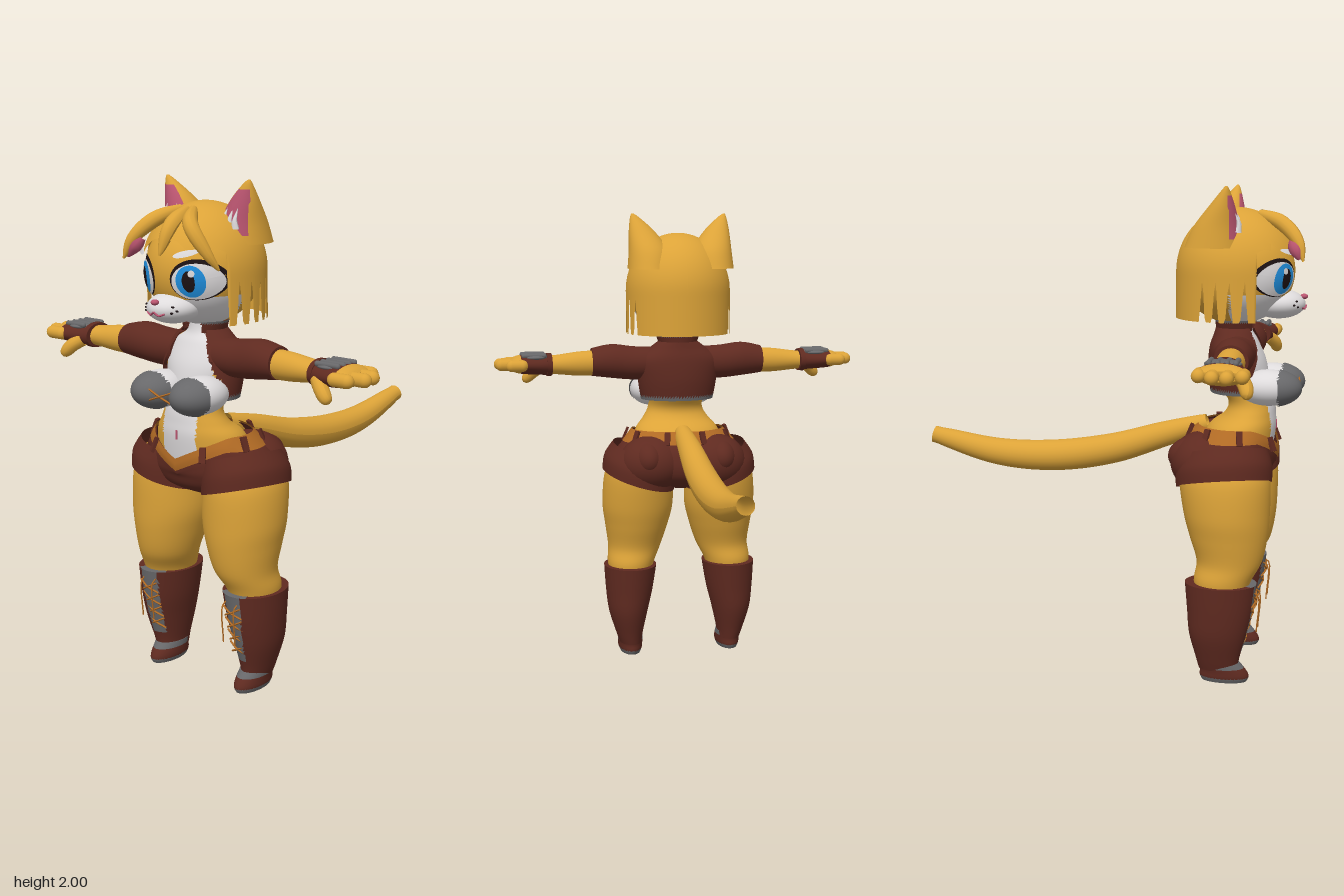
import * as THREE from 'three';

const mat = (name, color, side = THREE.FrontSide) => Object.assign(new THREE.MeshStandardMaterial({ color, side }), { name });
const V = (x, y, z) => new THREE.Vector3(x, y, z);

// Smooth closed body through elliptical rings [cx, cy, cz, a, b], stacked along y or x
function loft(rings, { axis = 'y', n = 40, sub = 6, caps = true } = {}) {
  const rows = [], pos = [], idx = [], last = rings.length - 1;
  for (let k = 0; k <= last * sub; k++) {
    const i = Math.min(Math.floor(k / sub), last - 1), t = k / sub - i;
    const at = (j) => rings[Math.max(0, Math.min(last, j))];
    rows.push(rings[0].map((_, c) => {
      const p0 = at(i - 1)[c], p1 = at(i)[c], p2 = at(i + 1)[c], p3 = at(i + 2)[c];
      const m1 = (p2 - p0) / 2, m2 = (p3 - p1) / 2, t2 = t * t, t3 = t2 * t;
      return (2 * t3 - 3 * t2 + 1) * p1 + (t3 - 2 * t2 + t) * m1 + (3 * t2 - 2 * t3) * p2 + (t3 - t2) * m2;
    }));
  }
  const ring = ([x, y, z, a, b]) => {
    for (let j = 0; j < n; j++) {
      const s = Math.sin(j / n * Math.PI * 2), c = Math.cos(j / n * Math.PI * 2);
      if (axis === 'y') pos.push(x + a * s, y, z + b * c);
      else pos.push(x, y - a * s, z + b * c);
    }
  };
  rows.forEach(ring);
  for (let k = 0; k < rows.length - 1; k++) for (let j = 0; j < n; j++) {
    const a = k * n + j, b = k * n + (j + 1) % n;
    idx.push(a, b, b + n, a, b + n, a + n);
  }
  if (caps) [rows[0], rows[rows.length - 1]].forEach((r, top) => {
    const s = pos.length / 3;
    ring(r);
    pos.push(r[0], r[1], r[2]);
    for (let j = 0; j < n; j++) {
      const a = s + j, b = s + (j + 1) % n;
      if (top) idx.push(s + n, a, b); else idx.push(s + n, b, a);
    }
  });
  return finish(pos, idx);
}

function finish(pos, idx) {
  const g = new THREE.BufferGeometry();
  g.setAttribute('position', new THREE.Float32BufferAttribute(pos, 3));
  g.setIndex(idx);
  g.computeVertexNormals();
  return g;
}

// Move every vertex by a rule
function warp(g, rule) {
  const p = g.attributes.position, v = V(0, 0, 0);
  for (let i = 0; i < p.count; i++) { v.fromBufferAttribute(p, i); rule(v, i); p.setXYZ(i, v.x, v.y, v.z); }
  g.computeVertexNormals();
  return g;
}

// Sort faces into material groups; the rule gives a slot, or -1 to cut the face away
function paint(g, slots, rule) {
  const lists = Array.from({ length: slots }, () => []), p = g.attributes.position, ix = g.index.array;
  const tri = new THREE.Triangle(), c = V(0, 0, 0), nrm = V(0, 0, 0);
  for (let i = 0; i < ix.length; i += 3) {
    tri.setFromAttributeAndIndices(p, ix[i], ix[i + 1], ix[i + 2]);
    const s = rule(tri.getMidpoint(c), tri.getNormal(nrm));
    if (s >= 0) lists[s].push(ix[i], ix[i + 1], ix[i + 2]);
  }
  g.clearGroups();
  let start = 0;
  lists.forEach((l, s) => { g.addGroup(start, l.length, s); start += l.length; });
  g.setIndex(lists.flat());
  return g;
}

// Tube along a curve with a changing radius
function taper(points, radius, segs = 24, sides = 12) {
  const curve = new THREE.CatmullRomCurve3(points.map((p) => V(...p)));
  const g = new THREE.TubeGeometry(curve, segs, 1, sides);
  return warp(g, (v, i) => {
    const u = Math.floor(i / (sides + 1)) / segs, c = curve.getPointAt(u);
    v.sub(c).multiplyScalar(radius(u)).add(c);
  });
}
const ball = (x, y, z, a, b, c) => new THREE.SphereGeometry(1, 40, 28).scale(a, b, c).translate(x, y, z);

// Oval plate laid on the curved face
const faceZ = (x, y) => 0.51 + 0.235 * Math.sqrt(Math.max(0, 1 - (x / 0.215) ** 2 - ((y - 1.66) / 0.215) ** 2));
function decal(x, y, a, b, lift, tilt = 0) {
  const g = new THREE.RingGeometry(0.001, 1, 36, 6).scale(a, b, 1).rotateZ(tilt).translate(x, y, 0);
  return warp(g, (v) => { v.z = faceZ(v.x, v.y) + lift; });
}

export function createModel() {
  const model = new THREE.Group();
  model.name = 'catWoman';
  const fur = mat('golden fur', 0xdca338, THREE.DoubleSide), white = mat('white fur', 0xdedbdc);
  const leather = mat('brown leather', 0x5f2a20, THREE.DoubleSide), grey = mat('grey trim', 0x68686a, THREE.DoubleSide);
  const pink = mat('pink', 0xb9546f), orange = mat('orange belt', 0xb06a24, THREE.DoubleSide);
  const blue = mat('blue iris', 0x2090e0), black = mat('black', 0x1c1214);
  const add = (name, g, m) => { const mesh = new THREE.Mesh(g, m); mesh.name = name; model.add(mesh); };
  const pair = (name, g, m) => {
    const r = g.clone().scale(-1, 1, 1), ix = r.index.array;
    for (let i = 0; i < ix.length; i += 3) [ix[i], ix[i + 1]] = [ix[i + 1], ix[i]];
    add(name + 'Left', g, m);
    add(name + 'Right', r, m);
  };

  // Torso with white front
  const torso = loft([[0, 0.88, 0.5, 0.2, 0.16], [0, 0.95, 0.52, 0.21, 0.152], [0, 1.03, 0.545, 0.19, 0.137], [0, 1.08, 0.575, 0.15, 0.105],
    [0, 1.13, 0.58, 0.125, 0.095], [0, 1.2, 0.55, 0.13, 0.105], [0, 1.3, 0.53, 0.155, 0.105], [0, 1.38, 0.515, 0.13, 0.085], [0, 1.43, 0.51, 0.065, 0.065], [0, 1.52, 0.51, 0.06, 0.06]], { n: 72 });
  add('torso', paint(torso, 2, (c) => (c.z > 0.55 && Math.abs(c.x) < (c.y > 1.15 ? 0.12 : 0.085) ? 1 : 0)), [fur, white]);
  add('navel', new THREE.BoxGeometry(0.008, 0.036, 0.008).translate(0, 1.035, 0.681), pink);
  pair('bust', ball(0.1, 1.2, 0.655, 0.095, 0.073, 0.125), white);
  pair('topCup', paint(ball(0.1, 1.2, 0.66, 0.1, 0.078, 0.131), 1, (c) => (c.z > 0.7 ? 0 : -1)), grey);
  for (const s of [-1, 1]) add('topLace', taper([[-0.06, 1.2 - s * 0.022, 0.768], [0, 1.2, 0.772], [0.06, 1.2 + s * 0.022, 0.768]], () => 0.004, 8, 6), orange);

  // Cropped jacket, open in front, with collar and sleeves
  const jacket = loft([[0, 1.17, 0.535, 0.165, 0.125], [0, 1.26, 0.525, 0.18, 0.125], [0, 1.35, 0.515, 0.185, 0.11], [0, 1.405, 0.512, 0.125, 0.09], [0, 1.435, 0.51, 0.085, 0.08]], { n: 80, caps: false });
  add('jacket', paint(jacket, 2, (c) => (c.z > 0.53 && Math.abs(c.x) < 0.15 - Math.max(0, c.y - 1.25) * 0.5 ? -1 : c.y < 1.187 ? 1 : 0)), [leather, grey]);
  const collar = loft([[0, 1.42, 0.51, 0.085, 0.08], [0, 1.465, 0.51, 0.1, 0.085]], { n: 60, caps: false });
  add('collar', paint(collar, 2, (c) => (c.z > 0.56 && Math.abs(c.x) < 0.045 ? -1 : c.y > 1.455 ? 1 : 0)), [leather, grey]);
  pair('sleeve', loft([[0.1, 1.335, 0.53, 0.07, 0.075], [0.2, 1.335, 0.53, 0.075, 0.078], [0.3, 1.345, 0.533, 0.076, 0.078], [0.39, 1.342, 0.535, 0.062, 0.068]], { axis: 'x' }), leather);

  // Arms, gloves and hands
  pair('arm', loft([[0.36, 1.338, 0.535, 0.057, 0.056], [0.45, 1.336, 0.535, 0.054, 0.054], [0.55, 1.334, 0.535, 0.043, 0.05], [0.62, 1.334, 0.535, 0.04, 0.05]], { axis: 'x' }), fur);
  const hand = loft([[0.575, 1.335, 0.535, 0.047, 0.066], [0.63, 1.335, 0.537, 0.044, 0.08], [0.7, 1.338, 0.537, 0.042, 0.096], [0.735, 1.338, 0.537, 0.034, 0.092], [0.755, 1.338, 0.537, 0.02, 0.08]], { axis: 'x' });
  pair('glove', paint(hand, 2, (c) => (c.x > 0.71 ? 1 : 0)), [leather, fur]);
  pair('gloveCuff', loft([[0.57, 1.335, 0.535, 0.05, 0.07], [0.592, 1.335, 0.535, 0.052, 0.074]], { axis: 'x', sub: 2 }), leather);
  pair('glovePlate', ball(0.645, 1.37, 0.535, 0.065, 0.016, 0.07), grey);
  [[0.458, 0.775], [0.511, 0.818], [0.565, 0.823], [0.617, 0.785]].forEach(([z, tip]) => {
    pair('finger', new THREE.CapsuleGeometry(0.026, tip - 0.73, 8, 16).rotateZ(Math.PI / 2).translate((tip + 0.678) / 2, 1.338, z), fur);
    pair('gloveStrip', new THREE.CapsuleGeometry(0.011, 0.09, 6, 10).rotateZ(Math.PI / 2).translate(0.65, 1.378, 0.537 + (z - 0.537) * 0.62), grey);
  });
  pair('thumb', taper([[0.61, 1.32, 0.59], [0.645, 1.295, 0.615], [0.67, 1.27, 0.625], [0.69, 1.25, 0.625]], (u) => 0.028 * Math.sqrt(1.0001 - u ** 6)), fur);

  // Shorts and belt share a dip at the front
  const dip = (v) => { v.y -= 0.095 * Math.max(0, 1 - Math.abs(v.x) / 0.2) * THREE.MathUtils.smoothstep(v.z, 0.54, 0.64) * THREE.MathUtils.smoothstep(v.y, 0.85, 1.0); };
  add('shorts', warp(loft([[0, 0.775, 0.48, 0.06, 0.08], [0, 0.82, 0.48, 0.22, 0.17], [0, 0.88, 0.48, 0.31, 0.197], [0, 0.95, 0.49, 0.285, 0.195], [0, 1, 0.51, 0.235, 0.178], [0, 1.03, 0.525, 0.206, 0.162]], { n: 72, caps: false }), dip), leather);
  add('belt', warp(loft([[0, 0.985, 0.505, 0.256, 0.188], [0, 1.01, 0.515, 0.234, 0.181], [0, 1.037, 0.528, 0.21, 0.166]], { n: 72, caps: false }), dip), orange);
  [0.55, 1.35, 2.1, 2.8].forEach((a) => {
    const loop = new THREE.BoxGeometry(0.025, 0.06, 0.012).rotateX(-0.4).translate(0, 0, 0.006).rotateY(a);
    pair('beltLoop', loop.translate(0.236 * Math.sin(a), a < 1 ? 0.973 : 1.01, 0.515 + 0.183 * Math.cos(a)), leather);
  });
  pair('shortsSeat', ball(0.14, 0.895, 0.405, 0.15, 0.125, 0.138), leather);
  pair('backPocket', ball(0.165, 0.92, 0.385, 0.075, 0.085, 0.125), leather);
  pair('shortsLeg', warp(loft([[0.188, 0.815, 0.492, 0.162, 0.194], [0.182, 0.88, 0.49, 0.158, 0.194], [0.16, 0.95, 0.49, 0.14, 0.175]], { caps: false }), (v) => { v.y += 0.28 * (v.x - 0.188) + 0.1 * (v.z - 0.49); }), leather);

  // Legs
  pair('leg', loft([[0.165, 0.93, 0.49, 0.13, 0.165], [0.186, 0.84, 0.495, 0.153, 0.184], [0.19, 0.7, 0.505, 0.16, 0.175], [0.195, 0.6, 0.515, 0.143, 0.158],
    [0.205, 0.5, 0.52, 0.12, 0.132], [0.226, 0.42, 0.495, 0.104, 0.115], [0.23, 0.32, 0.49, 0.08, 0.09]].reverse()), fur);

  // Laced boots with grey tongue
  const boot = loft([[0.232, 0.05, 0.485, 0.05, 0.08], [0.237, 0.1, 0.482, 0.062, 0.09], [0.241, 0.2, 0.482, 0.088, 0.117], [0.235, 0.3, 0.488, 0.106, 0.133], [0.229, 0.415, 0.49, 0.119, 0.146]], { n: 64 });
  pair('boot', paint(boot, 2, (c) => (c.y > 0.13 && c.z > 0.5 && Math.abs(c.x - 0.224) < 0.02 + c.y * 0.055 ? 1 : 0)), [leather, grey]);
  const foot = loft([[0.23, 0, 0.51, 0.045, 0.092], [0.23, 0.02, 0.51, 0.053, 0.101], [0.23, 0.045, 0.505, 0.055, 0.095], [0.232, 0.08, 0.487, 0.056, 0.084]]);
  pair('foot', paint(foot, 2, (c) => (c.y < 0.018 || (c.y > 0.058 && c.z > 0.45) ? 1 : 0)), [leather, grey]);
  const laceZ = (y) => 0.565 + (y - 0.1) * 0.25 + 0.002;
  for (let y = 0.16; y < 0.38; y += 0.055) for (const s of [-1, 1]) {
    pair('bootLace', taper([[0.224 - s * 0.042, y, laceZ(y) - 0.004], [0.224, y + 0.022, laceZ(y + 0.022) + 0.008], [0.224 + s * 0.042, y + 0.045, laceZ(y + 0.045) - 0.004]], () => 0.004, 8, 6), orange);
  }
  for (const x of [0.19, 0.25]) pair('laceEnd', taper([[x, 0.385, 0.625], [x, 0.37, 0.645], [x, 0.22, 0.64]], () => 0.003, 8, 6), orange);

  // Tail
  add('tail', taper([[0, 1.03, 0.4], [0, 0.975, 0.22], [0, 0.905, 0], [0, 0.865, -0.25], [0, 0.87, -0.5], [0, 0.935, -0.79]],
    (u) => 0.036 + 0.03 * Math.sin(Math.PI * Math.min(1, u * 1.02)) ** 0.8, 48, 24), fur);

  // Head with white lower face and muzzle
  const head = new THREE.SphereGeometry(1, 72, 56).scale(0.215, 0.215, 0.235).translate(0, 1.66, 0.51);
  add('head', paint(head, 2, (c) => (c.z > 0.5 && c.y < 1.56 + Math.abs(c.x) * 0.1 ? 1 : 0)), [fur, white]);
  add('muzzle', ball(0, 1.53, 0.68, 0.1, 0.06, 0.11), white);
  add('nose', ball(0, 1.56, 0.783, 0.016, 0.011, 0.016), pink);
  pair('mouth', taper([[0, 1.525, 0.792], [0.02, 1.512, 0.787], [0.045, 1.52, 0.777]], () => 0.004, 10, 6), pink);
  for (const [x, y] of [[0.066, 1.545], [0.078, 1.53], [0.064, 1.522]]) {
    pair('whiskerDot', ball(x, y, 0.68 + 0.11 * Math.sqrt(1 - (x / 0.1) ** 2 - ((y - 1.53) / 0.06) ** 2), 0.008, 0.004, 0.005), black);
  }

  // Eyes and brows as layered plates
  pair('eyeRim', decal(0.121, 1.643, 0.083, 0.076, 0.002, 0.3), black);
  pair('eyeWhite', decal(0.122, 1.637, 0.076, 0.067, 0.005, 0.3), white);
  pair('iris', decal(0.112, 1.638, 0.046, 0.06, 0.008), blue);
  pair('pupil', decal(0.11, 1.638, 0.02, 0.04, 0.011), black);
  pair('eyeGlint', decal(0.122, 1.668, 0.01, 0.013, 0.014), white);
  pair('brow', decal(0.11, 1.742, 0.038, 0.012, 0.045, 0.25), white);

  // Bobbed hair: a dome falling straight, with a cut lower edge
  const hem = (a) => {
    const A = Math.abs(a);
    if (A < 1.12) return 1.725 + 0.06 * Math.abs(Math.sin(A * 4.2 + 0.7)) - 0.03 * (A > 0.85);
    const slit = [1.32, 1.55, 1.78, 2.02].reduce((m, s) => Math.max(m, 1 - Math.abs(A - s) / 0.055), 0);
    return 1.47 + 0.19 * slit;
  };
  const pos = [], idx = [], N = 220, R = 32;
  for (let r = 0; r <= R; r++) for (let j = 0; j <= N; j++) {
    const a = (j / N * 2 - 1) * Math.PI, f = r / 20;
    const y = Math.max(hem(a), f < 1 ? 1.66 + 0.255 * Math.cos(f * Math.PI / 2) : 1.66 - 0.2 * (r - 20) / 12);
    const k = y > 1.66 ? Math.sqrt(Math.max(0, 1 - ((y - 1.66) / 0.255) ** 2)) : 1;
    pos.push(0.233 * k * Math.sin(a), y, 0.5 + (Math.cos(a) > 0 ? 0.262 : 0.236) * k * Math.cos(a));
  }
  for (let r = 0; r < R; r++) for (let j = 0; j < N; j++) {
    const a = r * (N + 1) + j, b = a + N + 1;
    idx.push(a, b, b + 1, a, b + 1, a + 1);
  }
  add('hair', finish(pos, idx), fur);
  const lock = (u) => 0.004 + 0.026 * Math.sin(Math.PI * (0.12 + 0.88 * u)) ** 0.8;
  add('fringeLock', taper([[0, 1.89, 0.6], [0.01, 1.83, 0.705], [0.005, 1.73, 0.76]], lock), fur);
  add('fringeLock', taper([[0.03, 1.89, 0.6], [0.1, 1.84, 0.69], [0.17, 1.74, 0.68], [0.2, 1.68, 0.65]], lock), fur);
  add('sweptLock', taper([[-0.03, 1.89, 0.6], [-0.08, 1.85, 0.7], [-0.13, 1.78, 0.765], [-0.155, 1.71, 0.785]], lock), fur);
  add('sweptLockLining', taper([[-0.1, 1.79, 0.74], [-0.135, 1.75, 0.758], [-0.15, 1.715, 0.77]], lock), pink);

  // Ears with pink hollows and white tufts
  const ear = loft([[0.14, 1.76, 0.43, 0.097, 0.115], [0.142, 1.84, 0.442, 0.088, 0.092], [0.168, 1.92, 0.465, 0.058, 0.052], [0.196, 1.98, 0.482, 0.022, 0.018], [0.207, 2, 0.486, 0.004, 0.004]], { n: 56 });
  pair('ear', paint(ear, 2, (c, n) => (n.z > 0.62 && c.y > 1.8 && c.y < 1.965 ? 1 : 0)), [fur, pink]);
  for (const [x, t] of [[0.12, 0.13], [0.15, 0.158], [0.175, 0.18]]) {
    pair('earTuft', taper([[x, 1.82, 0.53], [x, 1.85, 0.533], [t, 1.895, 0.52]], (u) => 0.015 * (1.02 - u), 8, 8), white);
  }
  return model;
}
